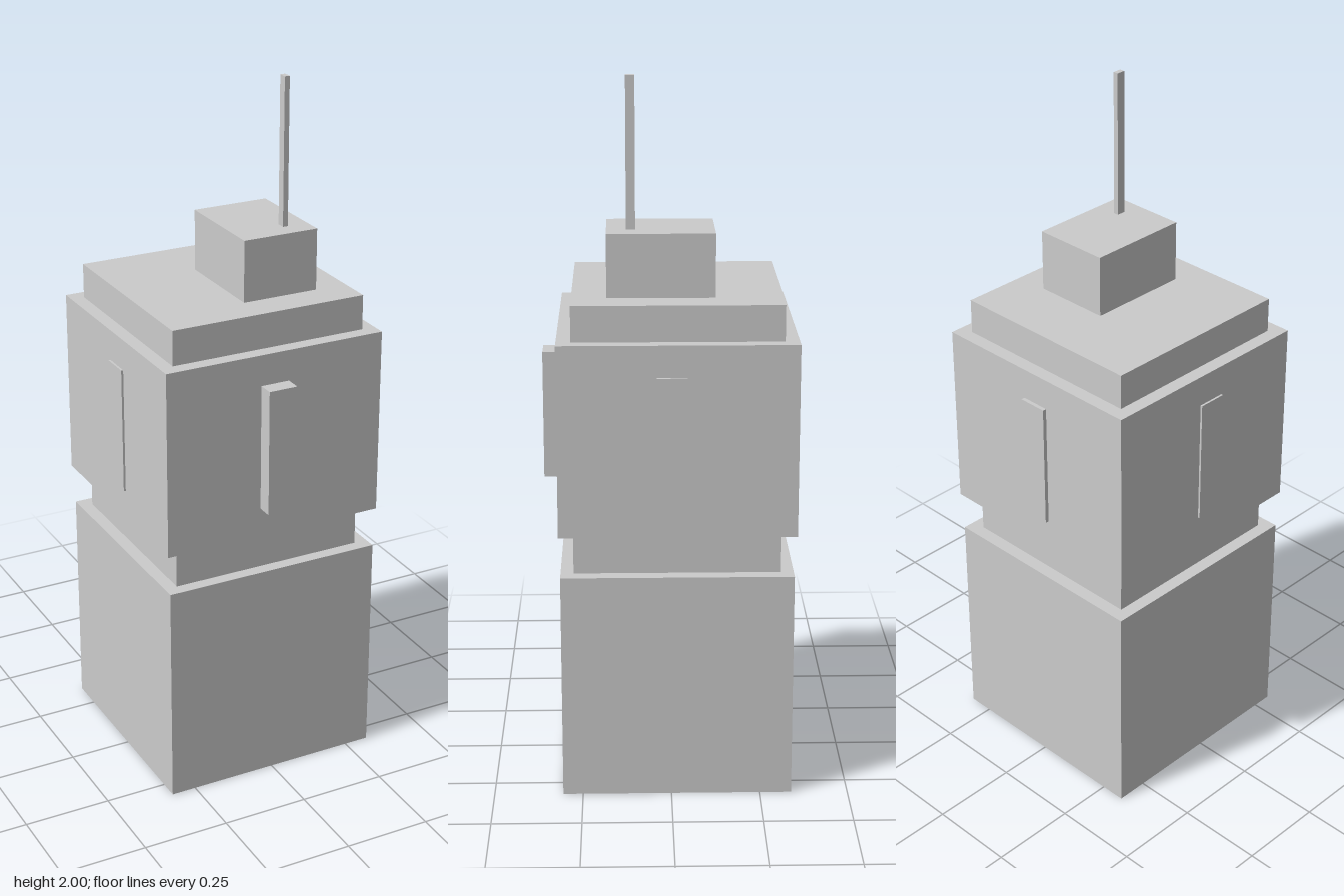
import * as THREE from 'three';

const material = new THREE.MeshStandardMaterial({ color: 0xcccccc, flatShading: true });

// Box given by its extents along each axis
function block(name, [x0, x1], [y0, y1], [z0, z1]) {
  const mesh = new THREE.Mesh(new THREE.BoxGeometry(x1 - x0, y1 - y0, z1 - z0), material);
  mesh.position.set((x0 + x1) / 2, (y0 + y1) / 2, (z0 + z1) / 2);
  mesh.name = name;
  return mesh;
}

export function createModel() {
  const tower = new THREE.Group();
  tower.name = 'tower';

  // Stacked body
  tower.add(
    block('base', [-0.322, 0.322], [0, 0.65], [-0.341, 0.306]),
    block('neck', [-0.285, 0.283], [0.65, 0.768], [-0.303, 0.27]),
    block('upperBody', [-0.329, 0.327], [0.768, 1.308], [-0.347, 0.31]),
    block('roofSlab', [-0.29, 0.288], [1.308, 1.408], [-0.308, 0.27]),
  );

  // Off-centre roof box and its mast
  tower.add(
    block('roofBox', [-0.028, 0.195], [1.408, 1.584], [-0.122, 0.174]),
    block('antenna', [0.119, 0.134], [1.584, 2], [0.095, 0.12]),
  );

  // Raised window panels; the front one stands out furthest
  const height = [0.853, 1.219];
  const acrossX = [-0.046, 0.038];
  const acrossZ = [-0.043, 0.04];
  tower.add(
    block('frontPanel', acrossX, height, [0.31, 0.356]),
    block('backPanel', acrossX, height, [-0.358, -0.347]),
    block('leftPanel', [0.327, 0.334], height, acrossZ),
    block('rightPanel', [-0.335, -0.329], height, acrossZ),
  );

  return tower;
}
